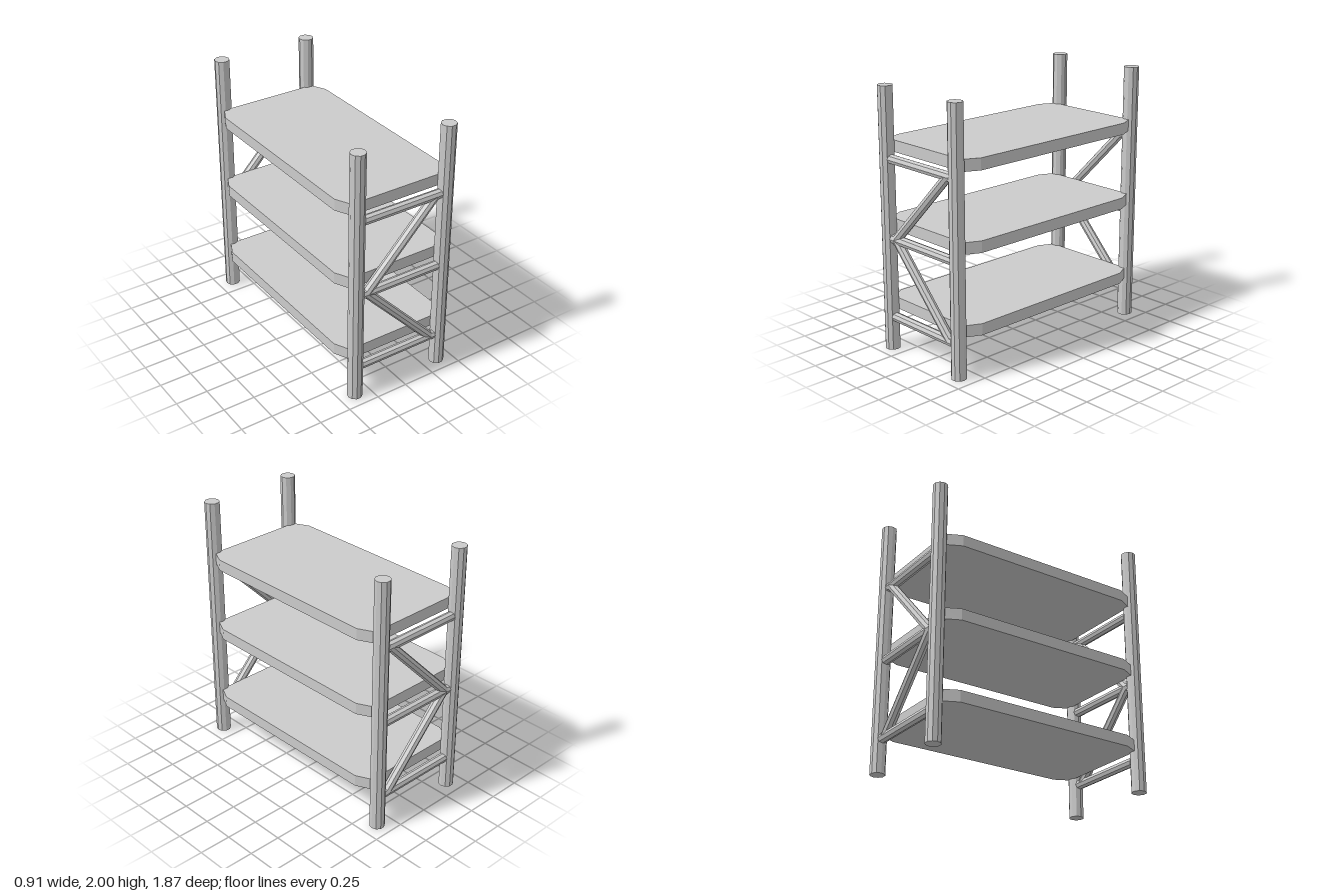
import * as THREE from 'three';

export function createModel() {
  const group = new THREE.Group();
  const material = new THREE.MeshStandardMaterial({ color: 0xcccccc, flatShading: true });
  const up = new THREE.Vector3(0, 1, 0);
  const postX = 0.375, postZ = 0.883;

  const add = (geometry, name) => {
    const mesh = new THREE.Mesh(geometry, material);
    mesh.name = name;
    group.add(mesh);
    return mesh;
  };

  // Straight eight-sided bar between two points
  const bar = (name, x1, y1, x2, y2, z) => {
    const a = new THREE.Vector3(x1, y1, z), b = new THREE.Vector3(x2, y2, z);
    const mesh = add(new THREE.CylinderGeometry(0.036, 0.036, a.distanceTo(b), 8), name);
    mesh.position.copy(a).add(b).multiplyScalar(0.5);
    mesh.quaternion.setFromUnitVectors(up, b.sub(a).normalize());
  };

  // Each end: two posts, three rungs and two diagonal braces
  const rungs = [0.258, 0.87, 1.468];
  for (const z of [postZ, -postZ]) {
    const end = z > 0 ? 'front' : 'back';
    for (const side of [-1, 1]) {
      const post = add(new THREE.CylinderGeometry(0.057, 0.057, 2, 10), end + (side > 0 ? 'LeftPost' : 'RightPost'));
      post.rotation.y = Math.PI / 2;
      post.position.set(side * postX, 1, z);
    }
    for (const y of rungs) bar(end + 'Rung', -0.35, y, 0.35, y, z);
    bar(end + 'LowerBrace', -0.29, rungs[1], 0.29, rungs[0], z);
    bar(end + 'UpperBrace', -0.29, rungs[1], 0.29, rungs[2], z);
  }

  // Shelves with clipped corners
  const outline = [[0.395, 0.847], [0.453, 0.727], [0.453, -0.727], [0.395, -0.847],
    [-0.395, -0.847], [-0.453, -0.727], [-0.453, 0.727], [-0.395, 0.847]];
  const shape = new THREE.Shape(outline.map(([x, z]) => new THREE.Vector2(x, z)));
  const shelf = new THREE.ExtrudeGeometry(shape, { depth: 0.088, bevelEnabled: false });
  shelf.rotateX(-Math.PI / 2);
  for (const y of [0.308, 0.922, 1.512]) add(shelf, 'shelf').position.y = y;

  return group;
}
